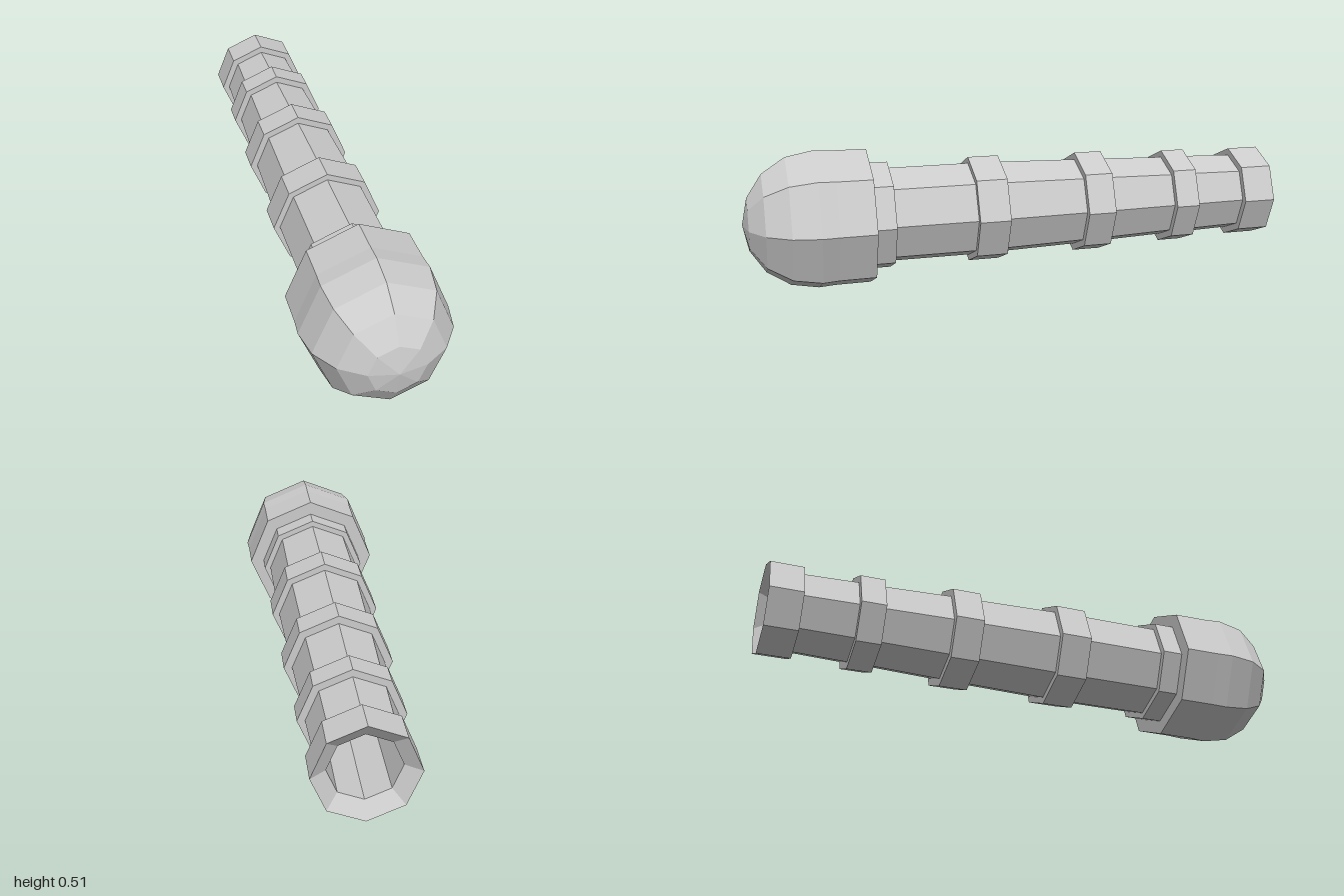
import * as THREE from 'three';

const SIDES = 8;
const CENTRE_Y = 0.258;

export function createModel() {
  const group = new THREE.Group();
  const material = new THREE.MeshStandardMaterial({ color: 0xcccccc, flatShading: true });

  // Eight-sided part turned around the z axis; profile is [radius, z] from back to front
  function turned(name, profile) {
    const points = profile.map(([r, z]) => new THREE.Vector2(r, z));
    const mesh = new THREE.Mesh(new THREE.LatheGeometry(points, SIDES), material);
    mesh.name = name;
    mesh.rotation.x = Math.PI / 2;
    mesh.position.y = CENTRE_Y;
    group.add(mesh);
  }

  // Rounded head with a flat back step
  turned('head', [
    [0.19, 0.55], [0.252, 0.55], [0.253, 0.68], [0.257, 0.74],
    [0.238, 0.84], [0.182, 0.925], [0.098, 0.98], [0, 1],
  ]);

  // Raised bands: radius, back z, front z
  const bands = [
    ['headCollar', 0.2, 0.475, 0.55],
    ['frontBand', 0.2, 0.06, 0.175],
    ['middleBand', 0.193, -0.345, -0.24],
    ['rearBand', 0.181, -0.685, -0.595],
  ];
  for (const [name, r, back, front] of bands) {
    turned(name, [[r - 0.045, back], [r, back], [r, front], [r - 0.045, front]]);
  }

  // Tapering handle sections between the bands: back radius, back z, front radius, front z
  const sections = [
    [0.177, 0.175, 0.177, 0.475],
    [0.167, -0.24, 0.175, 0.06],
    [0.155, -0.595, 0.164, -0.345],
    [0.148, -0.88, 0.154, -0.685],
  ];
  sections.forEach(([r0, z0, r1, z1], i) => {
    turned('handleSection' + (i + 1), [[r0, z0], [r1, z1]]);
  });

  // End ring with a bevelled mouth leading into a blind bore
  turned('endRing', [
    [0, -0.6], [0.12, -0.6], [0.12, -0.96],
    [0.174, -1], [0.174, -0.88], [0.14, -0.88],
  ]);

  return group;
}
